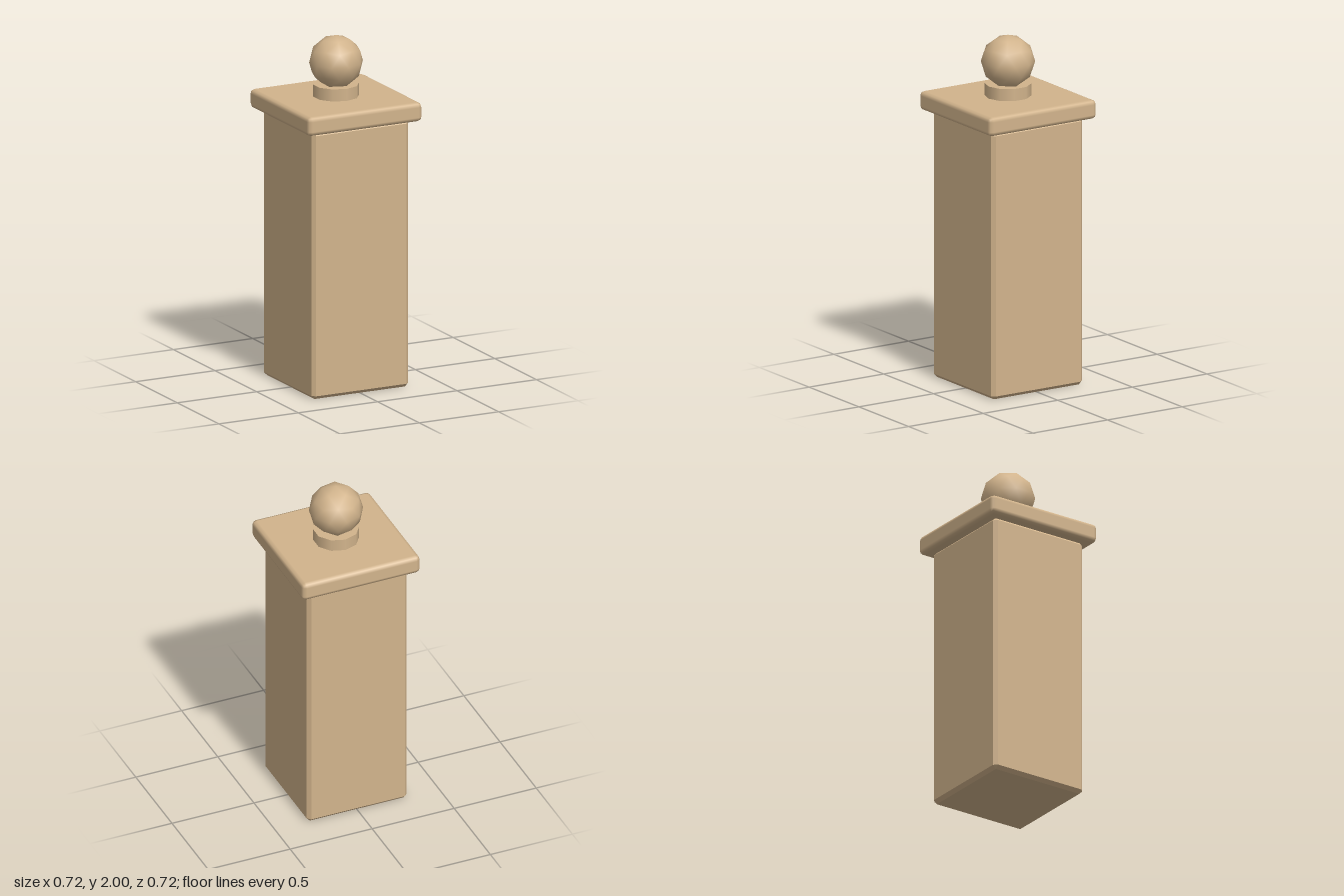
import * as THREE from 'three';
import { RoundedBoxGeometry } from 'three/addons/geometries/RoundedBoxGeometry.js';
import { ConvexGeometry } from 'three/addons/geometries/ConvexGeometry.js';

// Box with a single flat chamfer on every edge
function chamferBox(w, h, d, c) {
  const points = [];
  for (const sx of [-1, 1]) for (const sy of [-1, 1]) for (const sz of [-1, 1]) {
    const x = w / 2, y = h / 2, z = d / 2;
    points.push(
      new THREE.Vector3(sx * x, sy * (y - c), sz * (z - c)),
      new THREE.Vector3(sx * (x - c), sy * y, sz * (z - c)),
      new THREE.Vector3(sx * (x - c), sy * (y - c), sz * z));
  }
  return new ConvexGeometry(points);
}

export function createModel() {
  const model = new THREE.Group();
  model.name = 'gatePost';
  const stone = new THREE.MeshStandardMaterial({ color: 0xd2b48c });
  stone.name = 'tanStone';

  const add = (name, geometry, y) => {
    const mesh = new THREE.Mesh(geometry, stone);
    mesh.name = name;
    mesh.position.y = y;
    model.add(mesh);
  };

  // Square shaft with chamfered edges
  add('shaft', chamferBox(0.61, 1.545, 0.61, 0.02), 0.7725);

  // Overhanging slab with softly rounded edges
  add('cap', new RoundedBoxGeometry(0.72, 0.11, 0.72, 1, 0.026), 1.595);

  // Ten-sided collar under the ball
  add('collar', new THREE.CylinderGeometry(0.13, 0.13, 0.08, 10), 1.68);

  // Smooth low-poly ball, turned so one vertex points straight up
  const ball = new THREE.IcosahedronGeometry(0.152, 1);
  ball.rotateX(-Math.atan((1 + Math.sqrt(5)) / 2));
  ball.rotateY(-Math.PI / 2);
  add('ball', ball, 1.848);

  return model;
}
